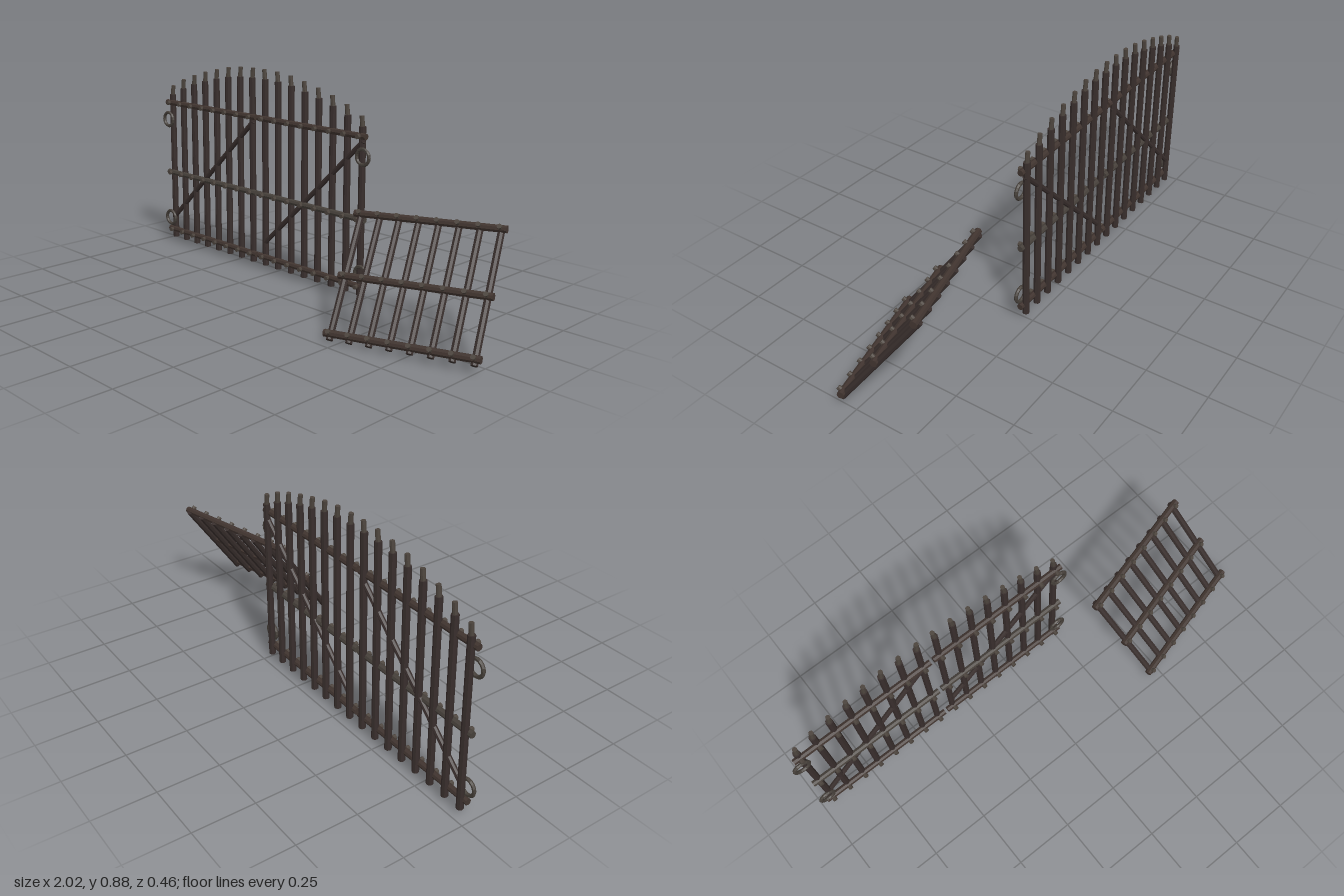
import * as THREE from 'three';

const mat = (name, color) => {
  const m = new THREE.MeshStandardMaterial({ color, flatShading: true });
  m.name = name;
  return m;
};

export function createModel() {
  const barMat = mat('dark iron', 0x382e2c);
  const railMat = mat('brown iron', 0x40342f);
  const midMat = mat('grey iron', 0x46403a);
  const tipMat = mat('worn iron', 0x4c443d);

  const V = (x, y, z) => new THREE.Vector3(x, y, z);
  const UP = V(0, 1, 0);

  // Faceted rod between two points
  function rod(parent, name, a, b, r, material, sides = 8) {
    const dir = b.clone().sub(a);
    const mesh = new THREE.Mesh(
      new THREE.CylinderGeometry(r, r, dir.length(), sides), material);
    mesh.position.copy(a).add(b).multiplyScalar(0.5);
    mesh.quaternion.setFromUnitVectors(UP, dir.normalize());
    mesh.name = name;
    parent.add(mesh);
  }

  // Horizontal rail with a rivet over every bar
  function rail(parent, x0, x1, y, bars, r, material) {
    rod(parent, 'rail', V(x0, y, 0.01), V(x1, y, 0.01), r, material);
    for (const x of bars)
      rod(parent, 'rivet', V(x, y, 0.01), V(x, y, 0.034), 0.0095, tipMat);
  }

  const model = new THREE.Group();
  model.name = 'ironGate';

  // Two standing leaves under one arched outline
  const tops = [0.754, 0.79, 0.817, 0.839, 0.857, 0.873, 0.882, 0.885];
  const step = 0.079;
  for (const side of [-1, 1]) {
    const leaf = new THREE.Group();
    leaf.name = side < 0 ? 'rightLeaf' : 'leftLeaf';
    leaf.position.set(-0.351, 0, -0.212);
    model.add(leaf);

    const bars = tops.map((t, i) => side * (0.593 - i * step));
    bars.forEach((x, i) => {
      const top = tops[i];
      rod(leaf, 'bar', V(x, 0.02, 0), V(x, top - 0.042, 0), 0.014, barMat);
      rod(leaf, 'barTip', V(x, top - 0.05, 0), V(x - side * 0.005, top, 0), 0.0094, tipMat);
    });

    for (const y of [0.06, 0.34, 0.675])
      rail(leaf, side * 0.007, side * 0.621, y, bars, 0.013, y === 0.34 ? midMat : railMat);

    // Both braces rise the same way
    const low = Math.min(...bars), high = Math.max(...bars);
    rod(leaf, 'brace', V(low - 0.004, 0.12, 0.002), V(high + 0.008, 0.655, 0.002), 0.011, barMat);

    // Hinge rings on the outer edge
    for (const y of [0.115, 0.594]) {
      const ring = new THREE.Mesh(new THREE.TorusGeometry(0.032, 0.0075, 6, 16), midMat);
      ring.position.set(side * 0.609, y, 0.015);
      ring.name = 'hingeRing';
      leaf.add(ring);
    }
  }

  // Loose tilted grating beside the gate
  const grate = new THREE.Group();
  grate.name = 'tiltedGrate';
  const across = V(0.558, 0.022, -0.15).normalize();
  const up = V(-0.066, 0.379, -0.28);
  up.addScaledVector(across, -up.dot(across)).normalize();
  const out = across.clone().cross(up);
  grate.quaternion.setFromRotationMatrix(new THREE.Matrix4().makeBasis(across, up, out));
  grate.position.set(0.68, 0.232, -0.005).addScaledVector(out, -0.009);
  model.add(grate);

  // Slight shear keeps the bars leaning as bent iron would
  const half = 0.238, skew = -0.029;
  const lean = y => skew * y;
  const offsets = Array.from({ length: 8 }, (_, i) => (i - 3.5) * 0.0785);
  for (const x of offsets)
    rod(grate, 'grateBar', V(x + lean(-half), -half - 0.022, 0),
      V(x + lean(half), half + 0.008, 0), 0.0135, barMat);
  for (const y of [-half, -0.014, half])
    rail(grate, lean(y) - 0.298, lean(y) + 0.298, y,
      offsets.map(x => x + lean(y)), 0.0145, railMat);

  return model;
}
